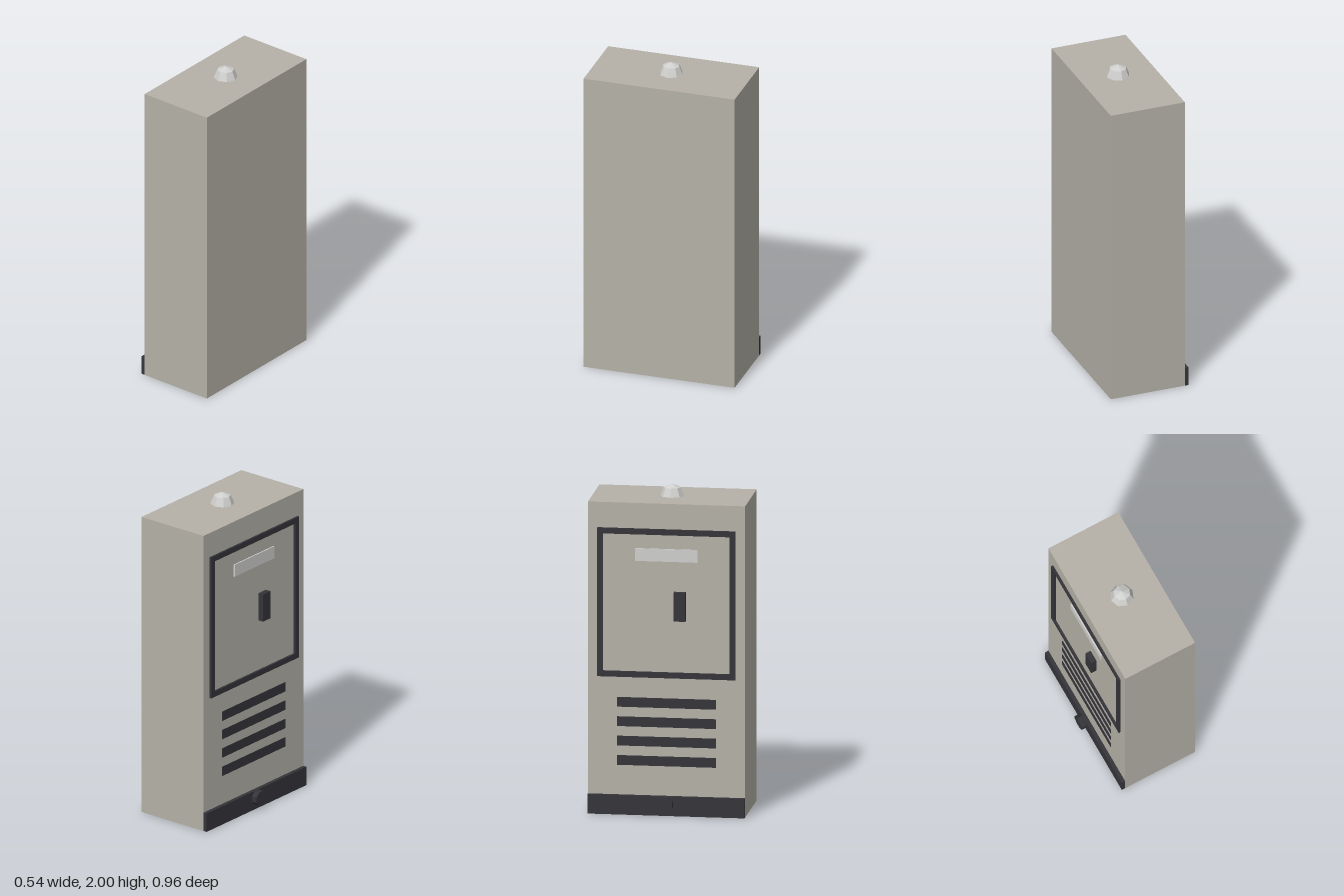
import * as THREE from 'three';

const material = (name, color, flatShading = false) => {
  const m = new THREE.MeshStandardMaterial({ color, flatShading });
  m.name = name;
  return m;
};

export function createModel() {
  const model = new THREE.Group();
  model.name = 'utilityCabinet';

  const casing = material('warm grey casing', 0xb5b1a8);
  const dark = material('dark trim', 0x34343a);
  const metal = material('light metal', 0xcfcfcd, true);

  const add = (name, geometry, mat, x, y, z) => {
    const mesh = new THREE.Mesh(geometry, mat);
    mesh.name = name;
    mesh.position.set(x, y, z);
    model.add(mesh);
    return mesh;
  };

  const side = -0.212; // plane of the fitted (right-hand) side
  const bodyTop = 1.927;

  // Box given by its limits
  const block = (name, mat, x0, x1, y0, y1, z0, z1) =>
    add(name, new THREE.BoxGeometry(x1 - x0, y1 - y0, z1 - z0), mat,
      (x0 + x1) / 2, (y0 + y1) / 2, (z0 + z1) / 2);

  // Cabinet body and kick plate
  block('body', casing, side, 0.27, 0, bodyTop, -0.48, 0.48);
  block('kickPlate', dark, -0.236, side, 0, 0.12, -0.48, 0.48);

  // Raised door frame, extruded outwards as one ring
  const rectangle = (path, w, h) => path
    .moveTo(-w, -h).lineTo(w, -h).lineTo(w, h).lineTo(-w, h).closePath();
  const outline = rectangle(new THREE.Shape(), 0.422, 0.46);
  outline.holes.push(rectangle(new THREE.Path(), 0.387, 0.425));
  const frame = new THREE.ExtrudeGeometry(outline, { depth: 0.013, bevelEnabled: false });
  frame.rotateY(-Math.PI / 2);
  add('doorFrame', frame, dark, side, 1.31, 0);

  // Door handle and name plate
  block('doorHandle', dark, -0.248, side, 1.208, 1.385, 0.047, 0.119);
  block('doorPlate', metal, side - 0.008, side, 1.57, 1.648, -0.19, 0.19);

  // Ventilation slots
  for (let i = 0; i < 4; i++) {
    const y = 0.333 + i * 0.12;
    block('ventSlot' + (i + 1), dark, side - 0.003, side, y - 0.03, y + 0.03, -0.303, 0.303);
  }

  // Octagonal plug on the kick plate
  const plug = new THREE.CylinderGeometry(0.047, 0.047, 0.036, 8).toNonIndexed();
  plug.rotateY(Math.PI / 8);
  plug.rotateZ(Math.PI / 2);
  plug.computeVertexNormals();
  add('plug', plug, dark, -0.254, 0.075, 0);

  // Faceted dome on the roof
  add('roofDome', new THREE.SphereGeometry(0.073, 8, 2, 0, Math.PI * 2, 0, Math.PI / 2),
    metal, 0.03, bodyTop, 0);

  return model;
}
